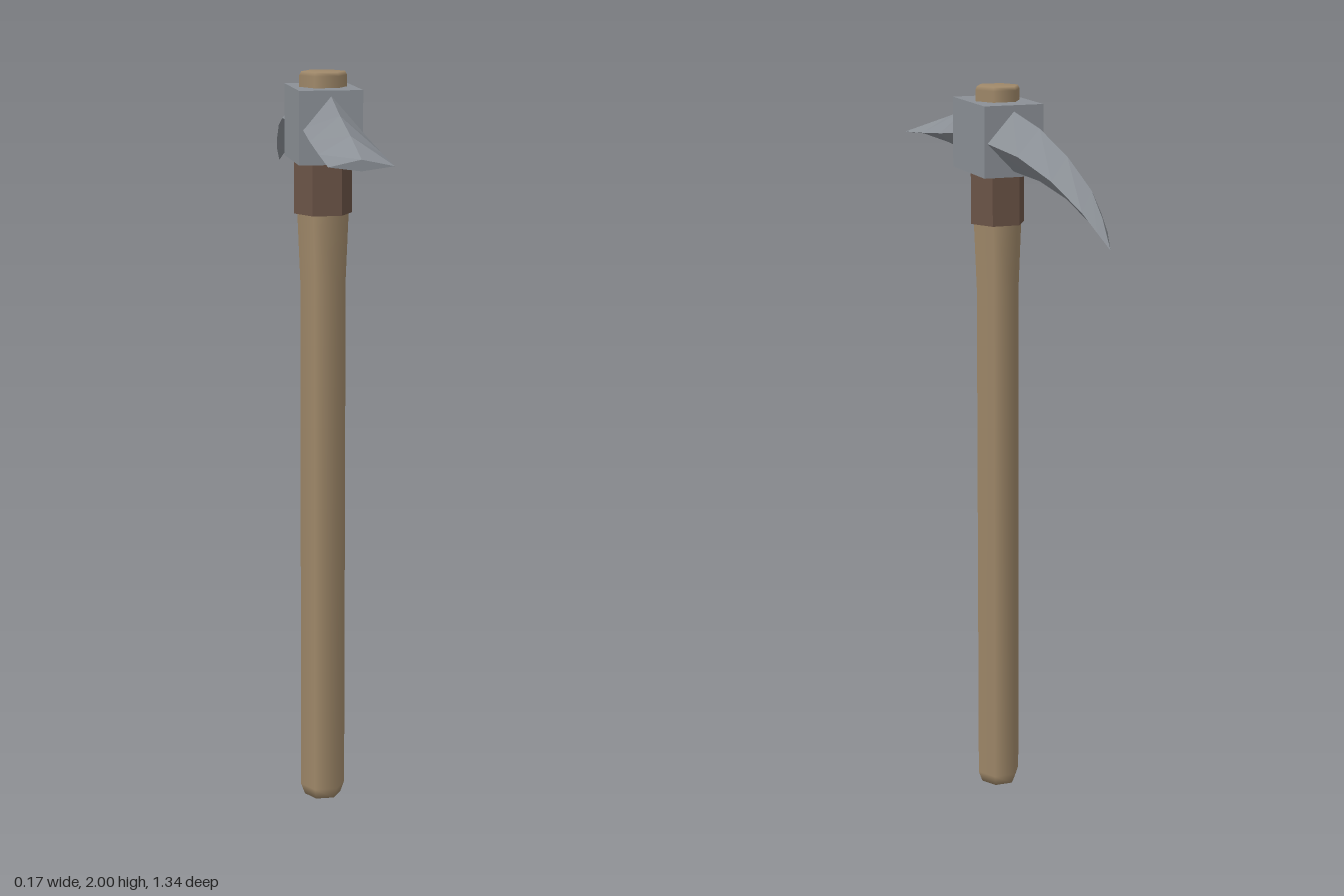
import * as THREE from 'three';

const AXIS_Z = 0.114; // handle centre line

// Diamond-section blade; each station is [z, top, side, bottom, halfWidth]
function bladeGeometry(stations) {
  const rings = stations.map(([z, top, side, bottom, w]) => [
    [0, top, z], [w, side, z], [0, bottom, z], [-w, side, z],
  ]);
  const forward = stations[1][0] > stations[0][0];
  const pos = [];
  const tri = (a, b, c) => pos.push(...a, ...(forward ? [...c, ...b] : [...b, ...c]));
  for (let i = 0; i < rings.length - 1; i++) {
    for (let k = 0; k < 4; k++) {
      const n = (k + 1) % 4;
      const [a, b, c, d] = [rings[i][k], rings[i][n], rings[i + 1][n], rings[i + 1][k]];
      tri(a, b, c);
      tri(a, c, d);
    }
  }
  // close the far end
  const e = rings[rings.length - 1];
  tri(e[0], e[1], e[2]);
  tri(e[0], e[2], e[3]);
  const geo = new THREE.BufferGeometry();
  geo.setAttribute('position', new THREE.Float32BufferAttribute(pos, 3));
  geo.computeVertexNormals();
  return geo;
}

export function createModel() {
  const group = new THREE.Group();
  const material = (name, color) => {
    const m = new THREE.MeshStandardMaterial({ color });
    m.name = name;
    return m;
  };
  const wood = material('wood', 0xa0896a);
  const leather = material('darkCollar', 0x6a5346);
  const metal = material('metal', 0x8b9096);

  const add = (name, geo, mat) => {
    const mesh = new THREE.Mesh(geo, mat);
    mesh.name = name;
    group.add(mesh);
    return mesh;
  };

  // six-sided handle with rounded shading and a flare below the collar
  const profile = [
    [0, 0], [0.05, 0], [0.061, 0.03], [0.061, 1.45], [0.069, 1.64],
    [0.063, 1.78], [0.063, 1.99], [0.058, 2], [0, 2],
  ].map(([r, y]) => new THREE.Vector2(r, y));
  add('handle', new THREE.LatheGeometry(profile, 6, Math.PI / 2), wood).position.z = AXIS_Z;

  // faceted collar under the head
  const collar = new THREE.CylinderGeometry(0.077, 0.077, 0.14, 6, 1, false, Math.PI / 2).toNonIndexed();
  collar.computeVertexNormals();
  add('collar', collar, leather).position.set(0, 1.7, AXIS_Z);

  // square head block
  add('headBlock', new THREE.BoxGeometry(0.166, 0.19, 0.252), metal).position.set(0, 1.865, AXIS_Z);

  // curved spike at the back
  add('spike', bladeGeometry([
    [0, 1.945, 1.862, 1.785, 0.075],
    [-0.2, 1.92, 1.85, 1.785, 0.061],
    [-0.39, 1.873, 1.812, 1.765, 0.043],
    [-0.55, 1.81, 1.756, 1.726, 0.025],
    [-0.62, 1.752, 1.718, 1.703, 0.014],
    [-0.672, 1.683, 1.683, 1.683, 0.0005],
  ]), metal);

  // flat chisel blade at the front
  add('chisel', bladeGeometry([
    [0.23, 1.948, 1.862, 1.783, 0.073],
    [0.37, 1.908, 1.845, 1.793, 0.077],
    [0.52, 1.873, 1.829, 1.799, 0.079],
    [0.672, 1.832, 1.815, 1.804, 0.081],
  ]), metal);

  return group;
}
